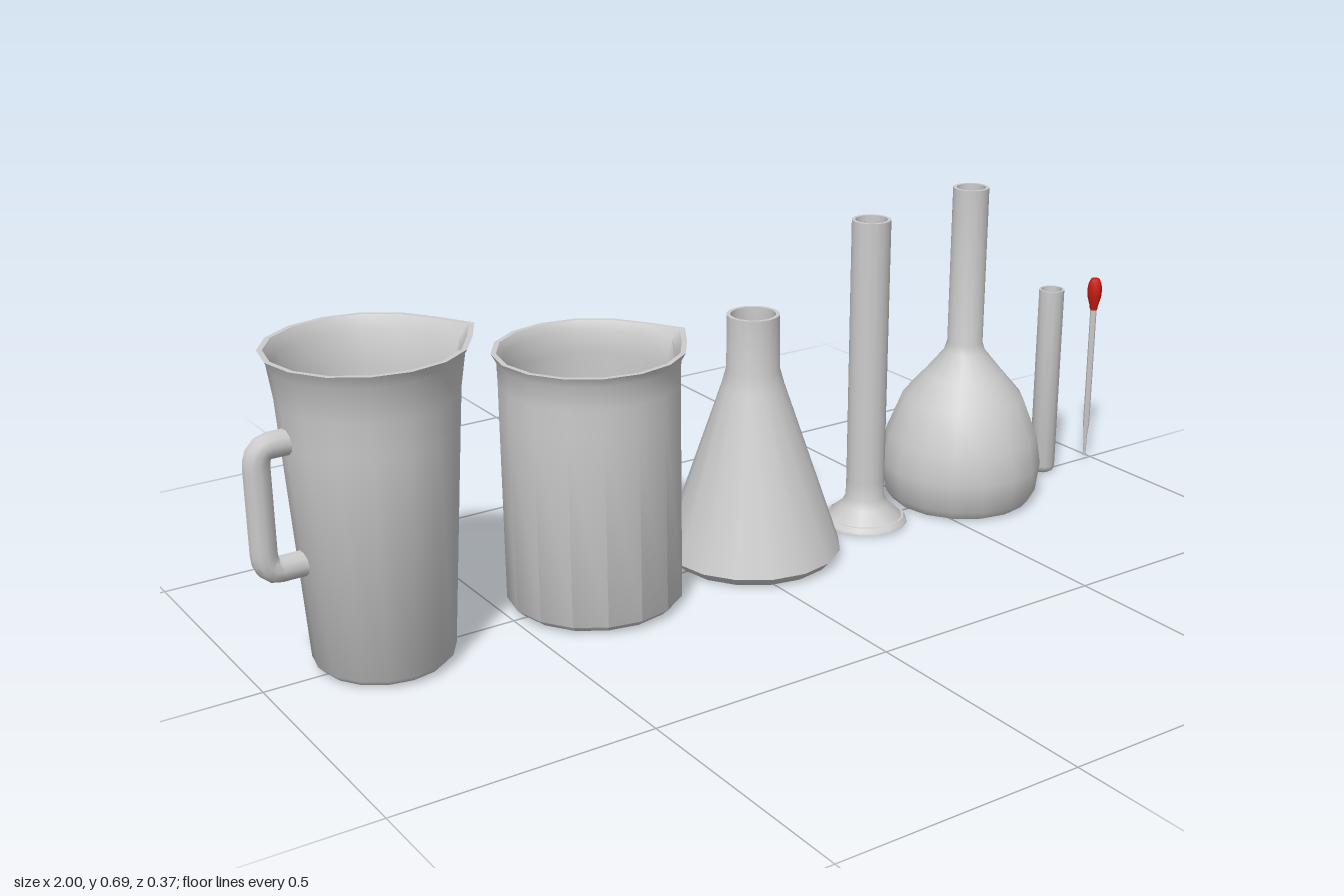
import * as THREE from 'three';
import { toCreasedNormals } from 'three/addons/utils/BufferGeometryUtils.js';

const grey = new THREE.MeshStandardMaterial({ color: 0xcccccc });
const red = new THREE.MeshStandardMaterial({ color: 0xcc1a10 });
const CREASE = THREE.MathUtils.degToRad(50);

// Turned shape from [radius, height] pairs, seam facing +x.
function turned(points, sides) {
  return new THREE.LatheGeometry(points.map(([r, y]) => new THREE.Vector2(r, y)), sides, Math.PI / 2);
}

// Closed wall profile: up the outside, over the rim, down the inside to a raised floor.
function hollow(outer, wall, floor) {
  const inner = outer.filter(([r]) => r > wall).map(([r, y]) => [r - wall, Math.max(y, floor)]).reverse();
  return [...outer, ...inner, [0, floor]];
}

// Pull the rim out along tangents to a pouring tip on the +x side.
function addSpout(geometry, bottom, top, spread) {
  const p = geometry.attributes.position;
  for (let i = 0; i < p.count; i++) {
    const x = p.getX(i), y = p.getY(i), z = p.getZ(i);
    const angle = Math.abs(Math.atan2(z, x));
    if (y <= bottom || angle >= spread) continue;
    const k = ((y - bottom) / (top - bottom)) ** 1.5;
    const f = 1 + k * (1 / Math.cos(spread - angle) - 1);
    p.setXYZ(i, x * f, y, z * f);
  }
}

function part(name, geometry, material, x = 0) {
  const mesh = new THREE.Mesh(toCreasedNormals(geometry, CREASE), material);
  mesh.name = name;
  mesh.position.x = x;
  return mesh;
}

const vessels = [
  {
    name: 'jug', x: -0.765, sides: 16, wall: 0.01, floor: 0.025, spout: [0.42, 0.604, 0.52],
    profile: [[0, 0.007], [0.118, 0.007], [0.13, 0.02], [0.157, 0.45], [0.161, 0.515], [0.17, 0.58], [0.183, 0.604]],
  },
  {
    name: 'beaker', x: -0.32, sides: 16, wall: 0.01, floor: 0.025, spout: [0.4, 0.513, 0.53],
    profile: [[0, 0.007], [0.157, 0.007], [0.171, 0.02], [0.172, 0.4], [0.172, 0.45], [0.173, 0.495], [0.183, 0.513]],
  },
  {
    name: 'conicalFlask', x: 0.052, sides: 16, wall: 0.008, floor: 0.025,
    profile: [[0, 0.005], [0.164, 0.005], [0.18, 0.023], [0.064, 0.365], [0.054, 0.4], [0.053, 0.513]],
  },
  {
    name: 'measuringCylinder', x: 0.342, sides: 16, wall: 0.007, floor: 0.02,
    profile: [[0, 0.007], [0.09, 0.007], [0.088, 0.012], [0.05, 0.045], [0.041, 0.062], [0.04, 0.1], [0.04, 0.66]],
  },
  {
    name: 'roundFlask', x: 0.604, sides: 16, wall: 0.007, floor: 0.025,
    profile: [[0, 0.005], [0.15, 0.006], [0.164, 0.025], [0.172, 0.088], [0.162, 0.15], [0.128, 0.235],
      [0.085, 0.285], [0.044, 0.335], [0.0375, 0.355], [0.0375, 0.69]],
  },
  {
    name: 'testTube', x: 0.85, sides: 12, wall: 0.005, floor: 0.012,
    profile: [[0, 0.002], [0.015, 0.003], [0.024, 0.008], [0.028, 0.02], [0.028, 0.428]],
  },
];

// Jug handle: a bent tube with short rounded corners, slightly flattened.
function jugHandle() {
  const v = (x, y) => new THREE.Vector3(x, y, 0);
  const path = new THREE.CurvePath();
  path.add(new THREE.LineCurve3(v(-0.915, 0.457), v(-0.95, 0.457)));
  path.add(new THREE.QuadraticBezierCurve3(v(-0.95, 0.457), v(-0.977, 0.457), v(-0.977, 0.42)));
  path.add(new THREE.LineCurve3(v(-0.977, 0.42), v(-0.977, 0.265)));
  path.add(new THREE.QuadraticBezierCurve3(v(-0.977, 0.265), v(-0.977, 0.227), v(-0.95, 0.227)));
  path.add(new THREE.LineCurve3(v(-0.95, 0.227), v(-0.9, 0.227)));
  const geometry = new THREE.TubeGeometry(path, 28, 0.024, 10, false);
  geometry.scale(1, 1, 0.85);
  return part('jugHandle', geometry, grey);
}

// Thin dropper: tapered glass stem with a red rubber bulb.
function dropper() {
  const group = new THREE.Group();
  group.name = 'dropper';
  const stem = [[0, 0.01], [0.003, 0.01], [0.004, 0.06], [0.007, 0.09], [0.007, 0.362], [0, 0.362]];
  const bulb = [[0, 0.358], [0.008, 0.358], [0.009, 0.367], [0.015, 0.388], [0.016, 0.405], [0.014, 0.42], [0.009, 0.43], [0, 0.431]];
  group.add(part('dropperStem', turned(stem, 8), grey), part('dropperBulb', turned(bulb, 8), red));
  group.position.x = 0.981;
  return group;
}

export function createModel() {
  const model = new THREE.Group();
  model.name = 'laboratoryGlassware';
  for (const { name, x, sides, wall, floor, spout, profile } of vessels) {
    const geometry = turned(hollow(profile, wall, floor), sides);
    if (spout) addSpout(geometry, ...spout);
    model.add(part(name, geometry, grey, x));
  }
  model.add(jugHandle(), dropper());
  return model;
}
